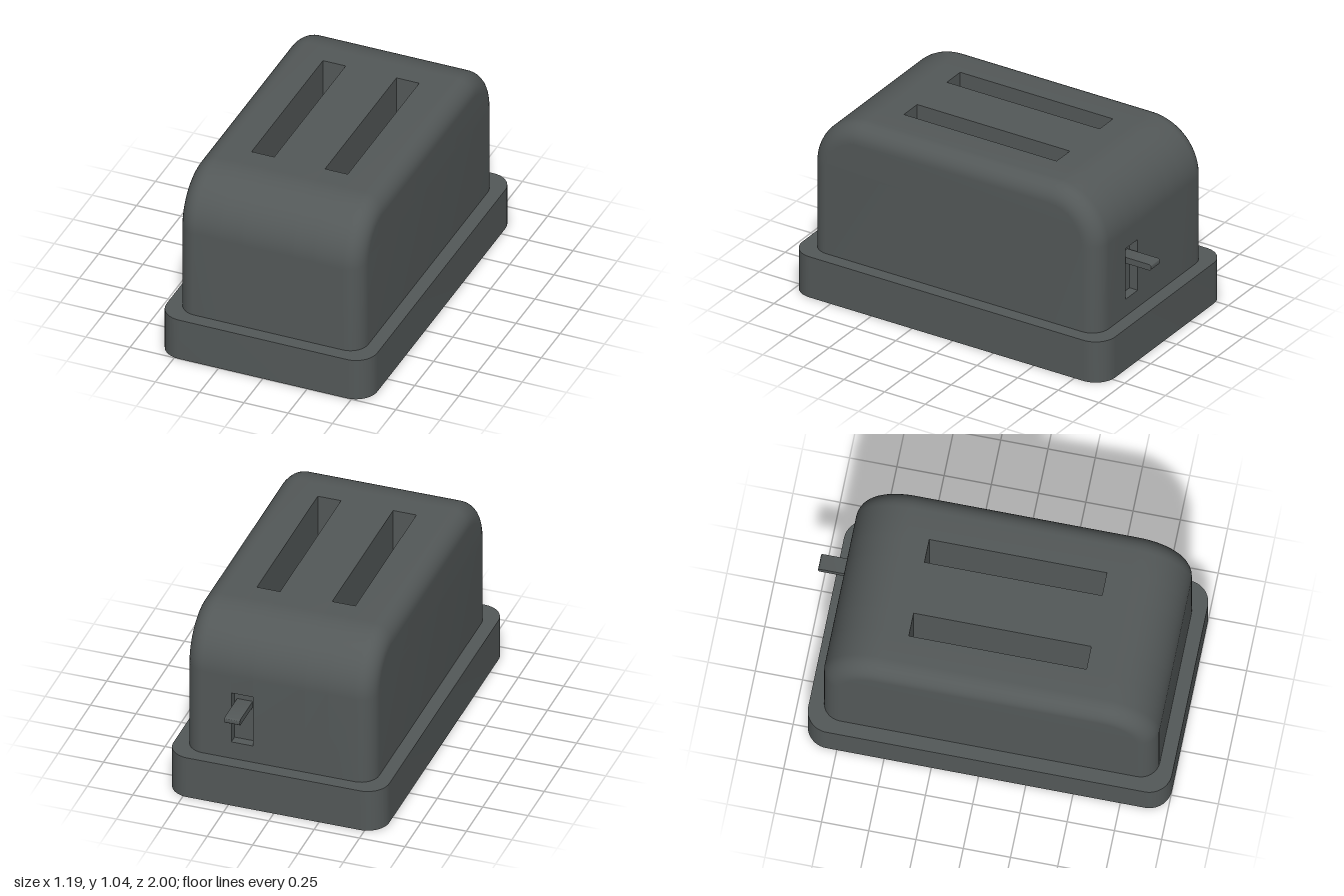
import * as THREE from 'three';
import { toCreasedNormals } from 'three/addons/utils/BufferGeometryUtils.js';

const MID_Z = 0.0375;                 // middle of base and body
const HALF = 0.8875, TOP = 1.04, LOW = 0.2, R = 0.3;   // body side profile
const EDGE = 0.1;                     // rounding along the body's sides
const SLOT = { half: 0.47, floor: 0.45 };
const LEVER_SLOT = { y0: 0.34, y1: 0.64, depth: 0.05 };

// Side profile of the body (shape x points to the back), with optional notches
function bodyProfile(topSlot, leverSlot) {
  const s = new THREE.Shape();
  s.moveTo(-HALF, LOW);
  s.lineTo(HALF, LOW);
  if (leverSlot) {
    const inner = HALF - LEVER_SLOT.depth;
    s.lineTo(HALF, LEVER_SLOT.y0);
    s.lineTo(inner, LEVER_SLOT.y0);
    s.lineTo(inner, LEVER_SLOT.y1);
    s.lineTo(HALF, LEVER_SLOT.y1);
  }
  s.lineTo(HALF, TOP - R);
  s.absarc(HALF - R, TOP - R, R, 0, Math.PI / 2, false);
  if (topSlot) {
    s.lineTo(SLOT.half, TOP);
    s.lineTo(SLOT.half, SLOT.floor);
    s.lineTo(-SLOT.half, SLOT.floor);
    s.lineTo(-SLOT.half, TOP);
  }
  s.lineTo(-HALF + R, TOP);
  s.absarc(-HALF + R, TOP - R, R, Math.PI / 2, Math.PI, false);
  s.closePath();
  return s;
}

// Straight slice of the body between two x positions
function sliceGeometry(x0, x1, topSlot, leverSlot) {
  const g = new THREE.ExtrudeGeometry(bodyProfile(topSlot, leverSlot),
    { depth: x1 - x0, bevelEnabled: false, curveSegments: 16 });
  g.translate(0, 0, x0);
  g.rotateY(Math.PI / 2);
  return toCreasedNormals(g, 0.5);
}

// Outer end of the body: layers shrink towards the profile's core in a quarter round
function endGeometry(xInner, xOuter) {
  const steps = 9;
  const g = new THREE.ExtrudeGeometry(bodyProfile(false, false),
    { depth: steps, steps, bevelEnabled: false, curveSegments: 16 });
  const p = g.attributes.position;
  for (let i = 0; i < p.count; i++) {
    const k = Math.round(p.getZ(i));
    const angle = Math.max(0, k - 1) / (steps - 1) * Math.PI / 2;
    const depth = k === 0 ? xInner : xOuter - EDGE + EDGE * Math.sin(angle);
    const scale = 1 - EDGE * (1 - Math.cos(angle)) / R;
    const coreX = THREE.MathUtils.clamp(p.getX(i), -HALF + R, HALF - R);
    const coreY = Math.min(p.getY(i), TOP - R);
    p.setXYZ(i, coreX + (p.getX(i) - coreX) * scale,
      coreY + (p.getY(i) - coreY) * scale, depth);
  }
  return toCreasedNormals(g, 0.5);
}

function roundedRect(w, h, r) {
  const s = new THREE.Shape(), x = w / 2 - r, y = h / 2 - r;
  s.absarc(x, y, r, 0, Math.PI / 2, false);
  s.absarc(-x, y, r, Math.PI / 2, Math.PI, false);
  s.absarc(-x, -y, r, Math.PI, Math.PI * 1.5, false);
  s.absarc(x, -y, r, Math.PI * 1.5, Math.PI * 2, false);
  s.closePath();
  return s;
}

export function createModel() {
  const model = new THREE.Group();
  model.name = 'toaster';
  const grey = new THREE.MeshStandardMaterial({ color: 0x535858 });
  grey.name = 'dark grey';

  const add = (parent, name, geometry) => {
    const mesh = new THREE.Mesh(geometry, grey);
    mesh.name = name;
    parent.add(mesh);
    return mesh;
  };

  // Base plinth
  const base = new THREE.ExtrudeGeometry(roundedRect(1.19, 1.925, 0.12),
    { depth: 0.24, bevelEnabled: false, curveSegments: 12 });
  base.rotateX(-Math.PI / 2);
  add(model, 'base', toCreasedNormals(base, 0.5)).position.z = MID_Z;

  // Body, sliced across x so that the bread slots and lever slot are real recesses
  const body = new THREE.Group();
  body.name = 'body';
  body.position.z = MID_Z;
  model.add(body);
  const slices = [
    [-0.275, -0.147, true, false],
    [-0.147, 0.14, false, false],
    [0.14, 0.26, true, true],
    [0.26, 0.268, true, false],
  ];
  slices.forEach((s, i) => add(body, 'bodySlice' + (i + 1), sliceGeometry(...s)));
  add(body, 'bodyLeftEnd', endGeometry(0.268, 0.52).rotateY(Math.PI / 2));
  add(body, 'bodyRightEnd', endGeometry(0.275, 0.52).rotateY(-Math.PI / 2));

  // Lever sticking out at the back, with a rounded tip
  const lever = new THREE.ExtrudeGeometry(roundedRect(0.22, 0.035, 0.015),
    { depth: 0.085, bevelEnabled: false, curveSegments: 6 });
  lever.rotateY(Math.PI / 2);
  add(model, 'lever', toCreasedNormals(lever, 0.5)).position.set(0.16, 0.5625, -0.89);

  return model;
}
